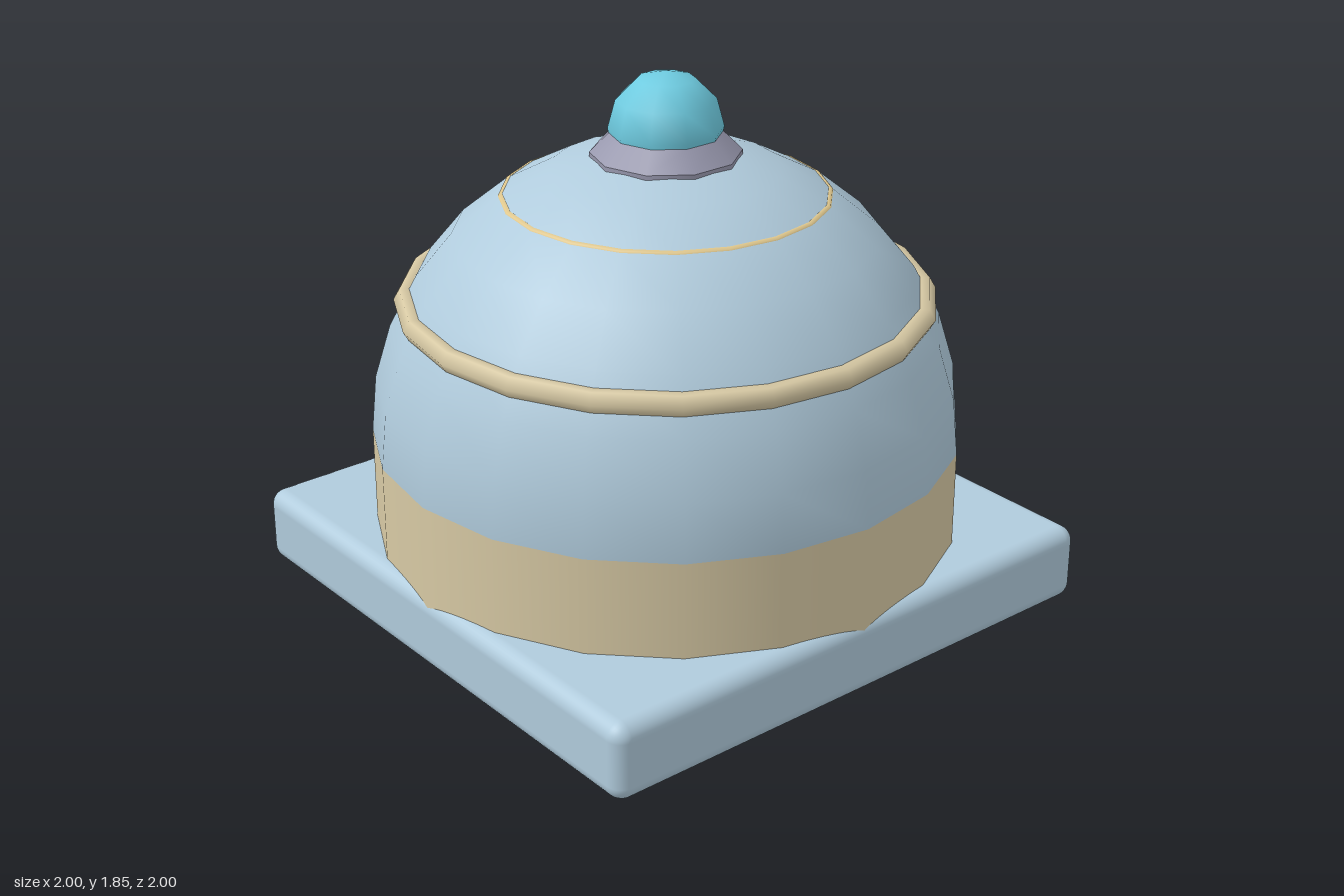
import * as THREE from 'three';
import { RoundedBoxGeometry } from 'three/addons/geometries/RoundedBoxGeometry.js';

const SIDES = 20, RADIUS = 0.995, SPRING = 0.6;

function material(name, color) {
  const m = new THREE.MeshStandardMaterial({ color });
  m.name = name;
  return m;
}

export function createModel() {
  const model = new THREE.Group();
  model.name = 'domedBuilding';
  const blue = material('paleBlue', 0xb0cbdc);
  const cream = material('cream', 0xd7c9a4);
  const gold = material('gold', 0xe0c88e);
  const grey = material('mauveGrey', 0x9898ae);
  const teal = material('teal', 0x6ecbe0);

  const add = (name, geometry, mat, y) => {
    const mesh = new THREE.Mesh(geometry, mat);
    mesh.name = name;
    mesh.position.y = y;
    model.add(mesh);
    return mesh;
  };
  // Lathe whose first vertex lies on the x axis
  const lathe = (points, sides) => new THREE.LatheGeometry(
    points.map(([r, y]) => new THREE.Vector2(r, y)), sides).rotateY(Math.PI / 2);

  // Square plinth with softened edges
  add('plinth', new RoundedBoxGeometry(2, 0.268, 2, 4, 0.055), blue, 0.134);

  // Round wall, sunk into the plinth
  add('wall', new THREE.CylinderGeometry(RADIUS, RADIUS, SPRING - 0.2, SIDES), cream, (SPRING + 0.2) / 2);

  // Hemispherical roof
  add('dome', new THREE.SphereGeometry(RADIUS, SIDES, 8, 0, Math.PI * 2, 0, Math.PI / 2), blue, SPRING);

  // Raised moulding around the dome
  add('moulding', new THREE.TorusGeometry(0.862, 0.042, 6, SIDES).rotateX(Math.PI / 2), cream, 1.073);

  // Thin inlaid line higher up
  add('inlayLine', lathe([[0.55, 1.427], [0.547, 1.434], [0.536, 1.438], [0.53, 1.434]], SIDES), gold, 0);

  // Collar: short upright rim, then a sloping shoulder
  add('collarRim', new THREE.CylinderGeometry(0.25, 0.25, 0.025, 10).rotateY(Math.PI / 2), grey, 1.5625);
  add('collarShoulder', new THREE.CylinderGeometry(0.185, 0.25, 0.065, 10).rotateY(Math.PI / 2), grey, 1.6075);

  // Finial ball
  add('finial', new THREE.SphereGeometry(0.19, 10, 6), teal, 1.655);

  return model;
}
